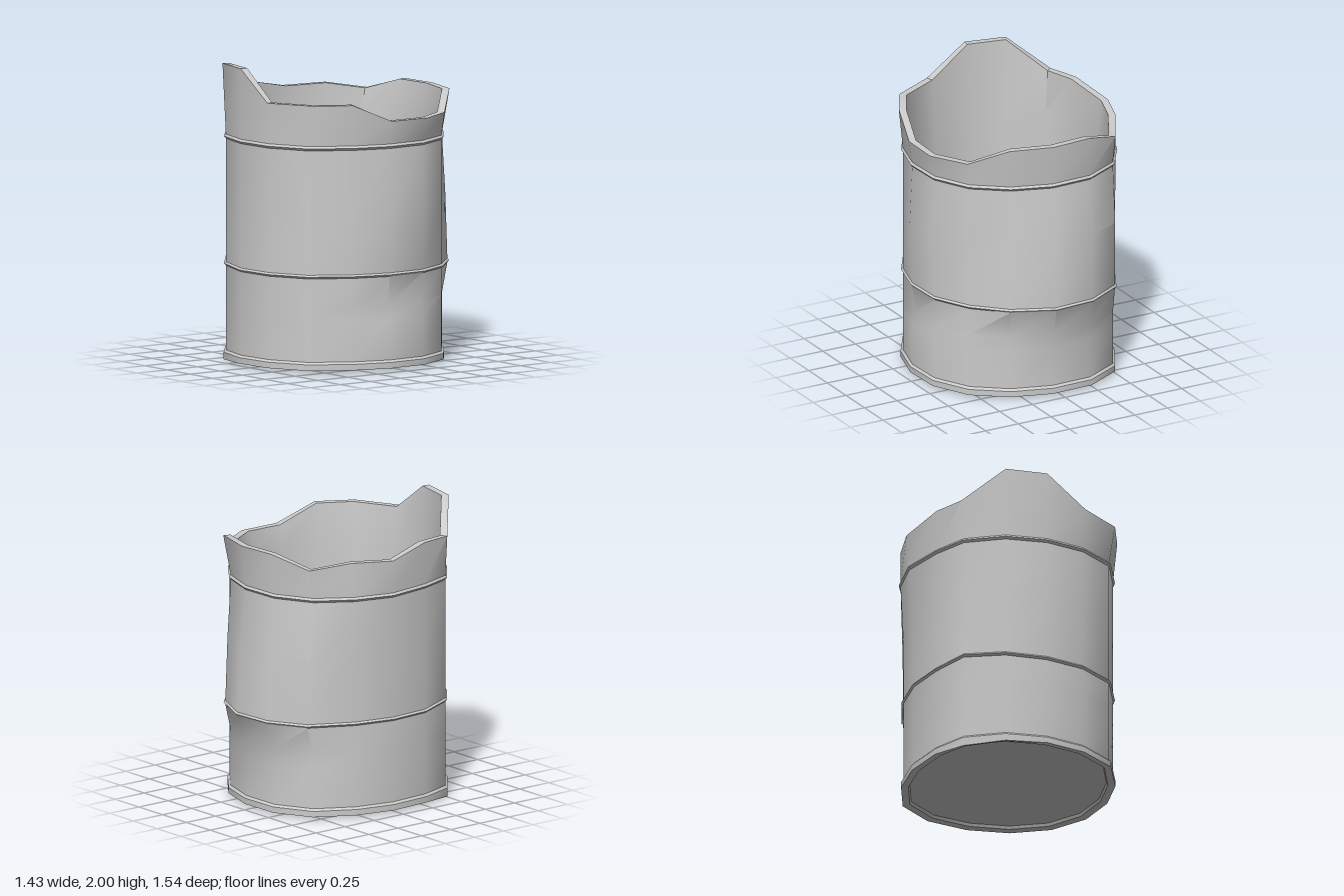
import * as THREE from 'three';
import { toCreasedNormals } from 'three/addons/utils/BufferGeometryUtils.js';

const N = 16;
// Battered 16-sided outline [x, z] of the body, from the back round by the right side
const BASE = [
  [0.06, -0.685], [-0.23, -0.68], [-0.48, -0.55], [-0.62, -0.3],
  [-0.68, -0.03], [-0.66, 0.26], [-0.58, 0.5], [-0.36, 0.68],
  [-0.09, 0.755], [0.19, 0.735], [0.45, 0.61], [0.61, 0.36],
  [0.685, 0.1], [0.675, -0.18], [0.55, -0.43], [0.33, -0.6],
];
// Outline and heights of the torn top edge
const RIM = [
  [0.07, -0.72], [-0.22, -0.7], [-0.48, -0.585], [-0.62, -0.34],
  [-0.72, -0.06], [-0.66, 0.26], [-0.6, 0.5], [-0.37, 0.7],
  [-0.09, 0.76], [0.2, 0.755], [0.5, 0.6], [0.635, 0.37],
  [0.71, 0.1], [0.715, -0.19], [0.57, -0.44], [0.36, -0.64],
];
const RIM_Y = [1.8, 1.8, 1.72, 1.76, 1.75, 1.81, 1.8, 2, 2, 1.8, 1.8, 1.8, 1.68, 1.68, 1.68, 1.8];

// Dents and bulges: column -> [dx, dz]
const DENT_LOW = { 12: [-0.025, 0], 13: [-0.02, 0], 0: [0, -0.02], 1: [0, -0.02] };
const BULGE_MID = { 0: [0.01, -0.07], 1: [0.01, -0.055], 2: [0.01, -0.045], 15: [0.02, -0.03] };
const BULGE_HIGH = { 0: [0, -0.05], 1: [0, -0.04], 2: [0, -0.03], 4: [-0.005, 0], 12: [0.02, 0], 13: [0.025, 0], 15: [0.01, -0.02] };
const DENT_TOP = { 4: [-0.025, -0.02], 3: [-0.01, -0.02], 0: [0, -0.005] };

// Push a point out from (or in towards) the axis
function offset([x, z], d) {
  const k = 1 + d / Math.hypot(x, z - 0.03);
  return [x * k, 0.03 + (z - 0.03) * k];
}

// One cross-section of the body
function ring(y, d = 0, dents = {}, wobble = {}) {
  return BASE.map(([x, z], i) => {
    const [dx, dz] = dents[i] || [0, 0];
    const p = offset([x + dx, z + dz], d);
    return new THREE.Vector3(p[0], y + (wobble[i] || 0), p[1]);
  });
}

function rimRing(d) {
  return RIM.map((p, i) => {
    const q = offset(p, d);
    return new THREE.Vector3(q[0], RIM_Y[i], q[1]);
  });
}

const centre = (y) => Array.from({ length: N }, () => new THREE.Vector3(0, y, 0.05));

// Skin a stack of cross-sections
function loft(name, rings, material, crease = 0.6) {
  const pos = [];
  const tri = (a, b, c) => {
    if (a.equals(b) || b.equals(c) || a.equals(c)) return;
    pos.push(...a.toArray(), ...b.toArray(), ...c.toArray());
  };
  for (let r = 0; r < rings.length - 1; r++) {
    for (let i = 0; i < N; i++) {
      const j = (i + 1) % N;
      const [lo, hi] = [rings[r], rings[r + 1]];
      tri(lo[i], lo[j], hi[j]);
      tri(lo[i], hi[j], hi[i]);
    }
  }
  const g = new THREE.BufferGeometry();
  g.setAttribute('position', new THREE.Float32BufferAttribute(pos, 3));
  const mesh = new THREE.Mesh(toCreasedNormals(g, crease), material);
  mesh.name = name;
  return mesh;
}

export function createModel() {
  const group = new THREE.Group();
  group.name = 'brokenBarrel';
  const grey = new THREE.MeshStandardMaterial({ color: 0xcccccc });
  const sag = { 6: -0.02, 7: -0.008 };
  const lift = { 6: 0.02, 7: 0.008 };

  // Recessed underside and foot flange
  group.add(loft('foot', [
    centre(0.045), ring(0.045, -0.045), ring(0.025, -0.035), ring(0.02, 0, {}, sag),
    ring(0.02, 0.015, {}, sag), ring(0.06, 0.015), ring(0.075, 0),
  ], grey));

  // Outer wall with its two raised hoops
  group.add(loft('outerWall', [
    ring(0.075), ring(0.35), ring(0.45, 0, DENT_LOW),
    ring(0.635, 0, BULGE_MID, lift), ring(0.648, 0.012, BULGE_MID, lift), ring(0.66, 0, BULGE_MID, lift),
    ring(1.1, 0, BULGE_HIGH),
    ring(1.495, 0, DENT_TOP), ring(1.51, 0.012, DENT_TOP), ring(1.525, 0, DENT_TOP),
    rimRing(0),
  ], grey));

  // Torn edge showing the thickness of the wall
  group.add(loft('tornEdge', [rimRing(0), rimRing(-0.05)], grey));

  // Inner wall, following the dents
  const t = -0.05;
  group.add(loft('innerWall', [
    rimRing(t), ring(1.51, t, DENT_TOP), ring(1.1, t, BULGE_HIGH), ring(0.65, t, BULGE_MID),
    ring(0.45, t, DENT_LOW), ring(0.35, t), ring(0.07, -0.06),
  ], grey));

  group.add(loft('floor', [ring(0.07, -0.06), centre(0.07)], grey));
  return group;
}
